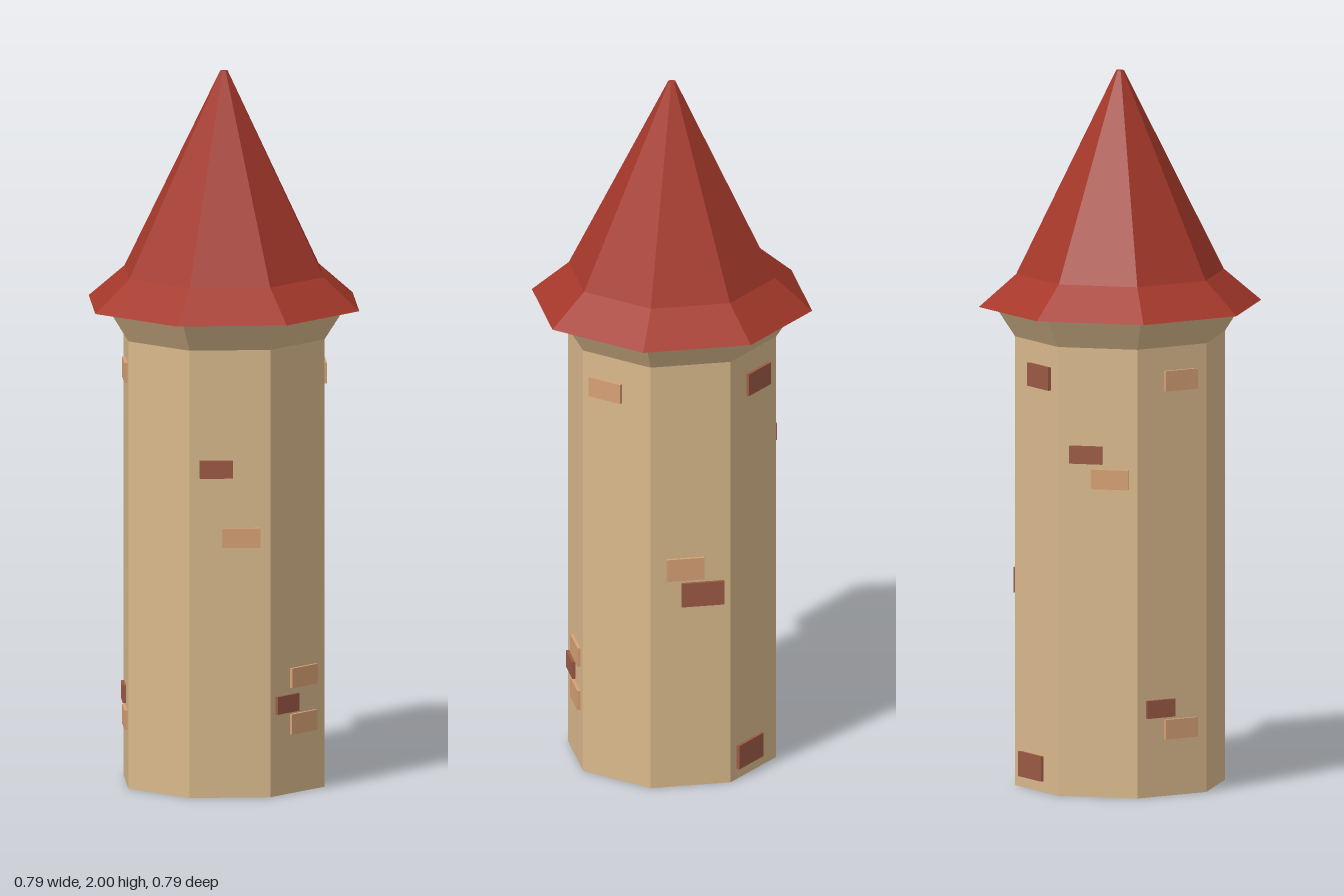
import * as THREE from 'three';

const SIDES = 8;
const APOTHEM = 0.295 * Math.cos(Math.PI / SIDES);

const material = (color) => new THREE.MeshStandardMaterial({ color, flatShading: true });

function addMesh(parent, name, geometry, mat) {
  const mesh = new THREE.Mesh(geometry, mat);
  mesh.name = name;
  parent.add(mesh);
  return mesh;
}

// Closed eight-sided solid from [radius, height] profile points, bottom to top
function octagonal(points) {
  const profile = points.map(([r, y]) => new THREE.Vector2(r, y));
  return new THREE.LatheGeometry(profile, SIDES).toNonIndexed();
}

export function createModel() {
  const model = new THREE.Group();
  model.name = 'tower';
  const stone = material(0xd8b88c);
  const tile = material(0xa5382a);
  const paleBrick = material(0xd6a074);
  const redBrick = material(0x9c5a45);

  // Wall with a flared collar under the eaves
  addMesh(model, 'wall', octagonal([[0, 0], [0.295, 0], [0.295, 1.26], [0.35, 1.345]]), stone);

  // Steep roof with a shallower skirt and a flat underside
  addMesh(model, 'roof', octagonal([[0, 1.345], [0.397, 1.345], [0.292, 1.435], [0.011, 2], [0, 2]]), tile);

  // Raised bricks: [wall face, offset along face, height, width, brick height, is red]
  const bricks = [
    [0, 0.022, 0.325, 0.107, 0.055, false],
    [0, -0.047, 0.255, 0.09, 0.05, true],
    [0, 0.02, 0.195, 0.105, 0.057, false],
    [1, -0.036, 1.16, 0.105, 0.057, false],
    [2, -0.015, 0.65, 0.105, 0.065, false],
    [2, 0.034, 0.573, 0.12, 0.07, true],
    [3, 0.02, 1.165, 0.11, 0.065, true],
    [3, -0.023, 0.065, 0.12, 0.07, true],
    [4, -0.033, 0.96, 0.093, 0.05, true],
    [4, 0.035, 0.893, 0.105, 0.055, false],
    [5, 0.027, 1.165, 0.105, 0.057, false],
    [5, -0.04, 0.247, 0.09, 0.05, true],
    [5, 0.027, 0.187, 0.105, 0.055, false],
    [7, -0.038, 0.925, 0.092, 0.05, true],
    [7, 0.032, 0.732, 0.105, 0.055, false],
  ];
  const group = new THREE.Group();
  group.name = 'bricks';
  model.add(group);
  for (const [face, offset, y, width, height, isRed] of bricks) {
    const side = new THREE.Group();
    side.name = 'brickMount';
    side.rotation.y = ((face + 0.5) * Math.PI * 2) / SIDES;
    group.add(side);
    const brick = addMesh(side, 'brick', new THREE.BoxGeometry(width, height, 0.02), isRed ? redBrick : paleBrick);
    brick.position.set(offset, y, APOTHEM - 0.001);
  }
  return model;
}
